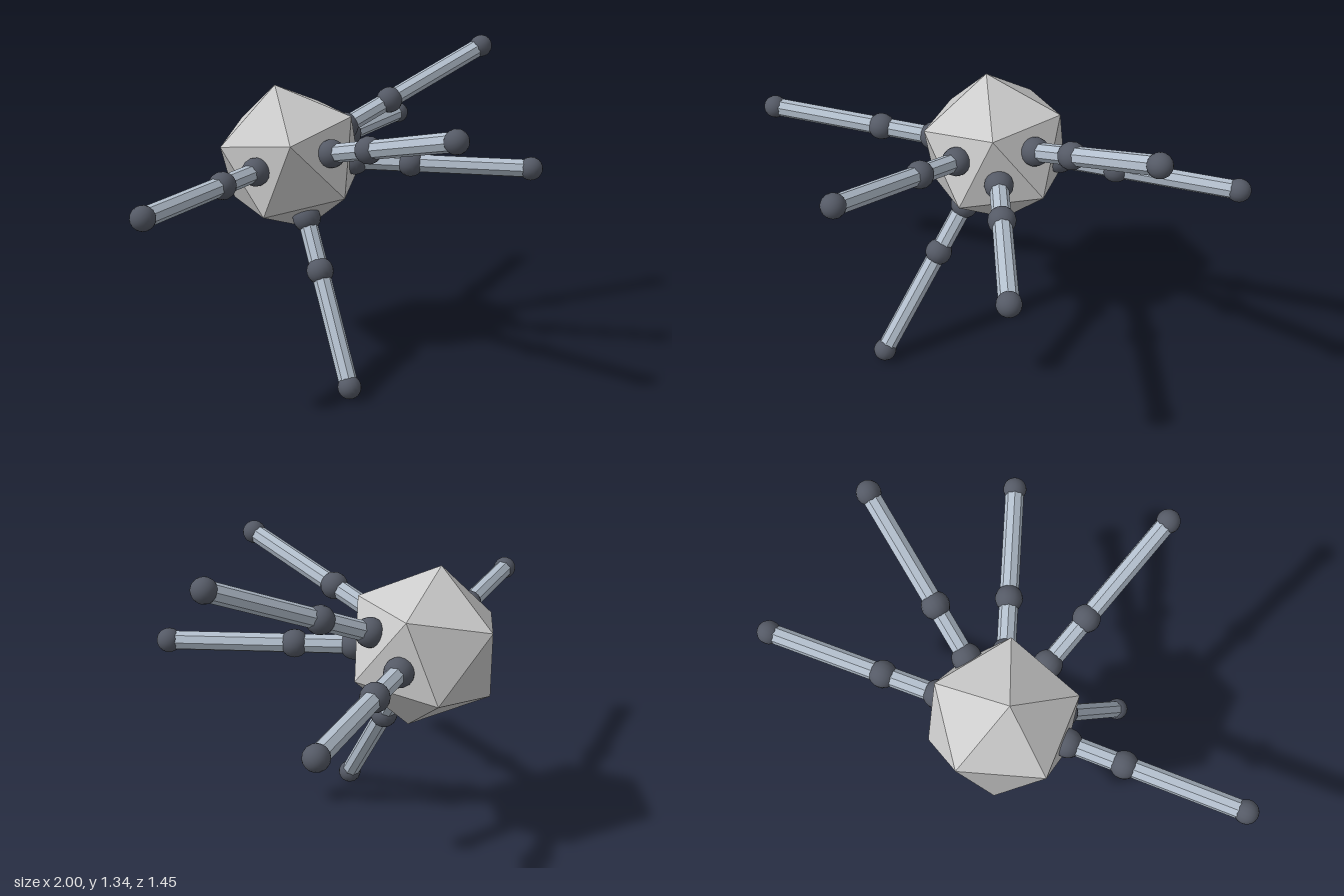
import * as THREE from 'three';

const CENTER = new THREE.Vector3(0, 0.885, -0.31);
const UP = new THREE.Vector3(0, 1, 0);

const bodyMat = new THREE.MeshStandardMaterial({ color: 0xcccccc, flatShading: true });
const tubeMat = new THREE.MeshStandardMaterial({ color: 0xb4c0ce, flatShading: true });
const jointMat = new THREE.MeshStandardMaterial({ color: 0x555a66 });

// Distances along each arm from the body centre, with ball radii
const BALLS = [
  ['baseJoint', 0.277, 0.06],
  ['middleJoint', 0.515, 0.057],
  ['tip', 1.018, 0.049],
];
const TUBE_RADIUS = 0.039;

// Tilted icosahedron: orientation set by two adjacent corners
function makeBody() {
  const body = new THREE.Mesh(new THREE.IcosahedronGeometry(0.331, 0), bodyMat);
  body.name = 'body';
  const a = new THREE.Vector3(-0.0725, 0.3225, -0.018).normalize();
  const b = new THREE.Vector3(-0.31, 0.08, -0.082).normalize();
  const x = a.clone().sub(b).normalize();
  const y = a.clone().add(b).normalize();
  const z = x.clone().cross(y);
  body.quaternion.setFromRotationMatrix(new THREE.Matrix4().makeBasis(x, y, z));
  return body;
}

// Straight arm along +y: three balls joined by two tubes
function makeArm(name, direction) {
  const arm = new THREE.Group();
  arm.name = name;
  BALLS.forEach(([ballName, distance, radius], i) => {
    const ball = new THREE.Mesh(new THREE.SphereGeometry(radius, 16, 12), jointMat);
    ball.name = ballName;
    ball.position.y = distance;
    arm.add(ball);
    if (i === 0) return;
    const start = BALLS[i - 1][1];
    const length = distance - start;
    const tube = new THREE.Mesh(
      new THREE.CylinderGeometry(TUBE_RADIUS, TUBE_RADIUS, length, 8), tubeMat);
    tube.name = i === 1 ? 'upperTube' : 'lowerTube';
    tube.position.y = start + length / 2;
    arm.add(tube);
  });
  arm.quaternion.setFromUnitVectors(UP, new THREE.Vector3(...direction).normalize());
  return arm;
}

export function createModel() {
  const model = new THREE.Group();
  model.name = 'armedBody';
  model.position.copy(CENTER);
  model.add(makeBody());

  // Arms radiate from the body centre
  const arms = {
    rightArm: [-0.955, 0, 0.355],
    leftBackArm: [0.95, 0, -0.37],
    leftFrontArm: [0.655, 0, 0.775],
    leftRaisedArm: [0.9, 0.415, 0.23],
    frontArm: [0.01, 0.255, 0.985],
    lowerArm: [-0.15, -0.83, 0.57],
  };
  for (const [name, direction] of Object.entries(arms)) model.add(makeArm(name, direction));

  const root = new THREE.Group();
  root.name = 'model';
  root.add(model);
  return root;
}
